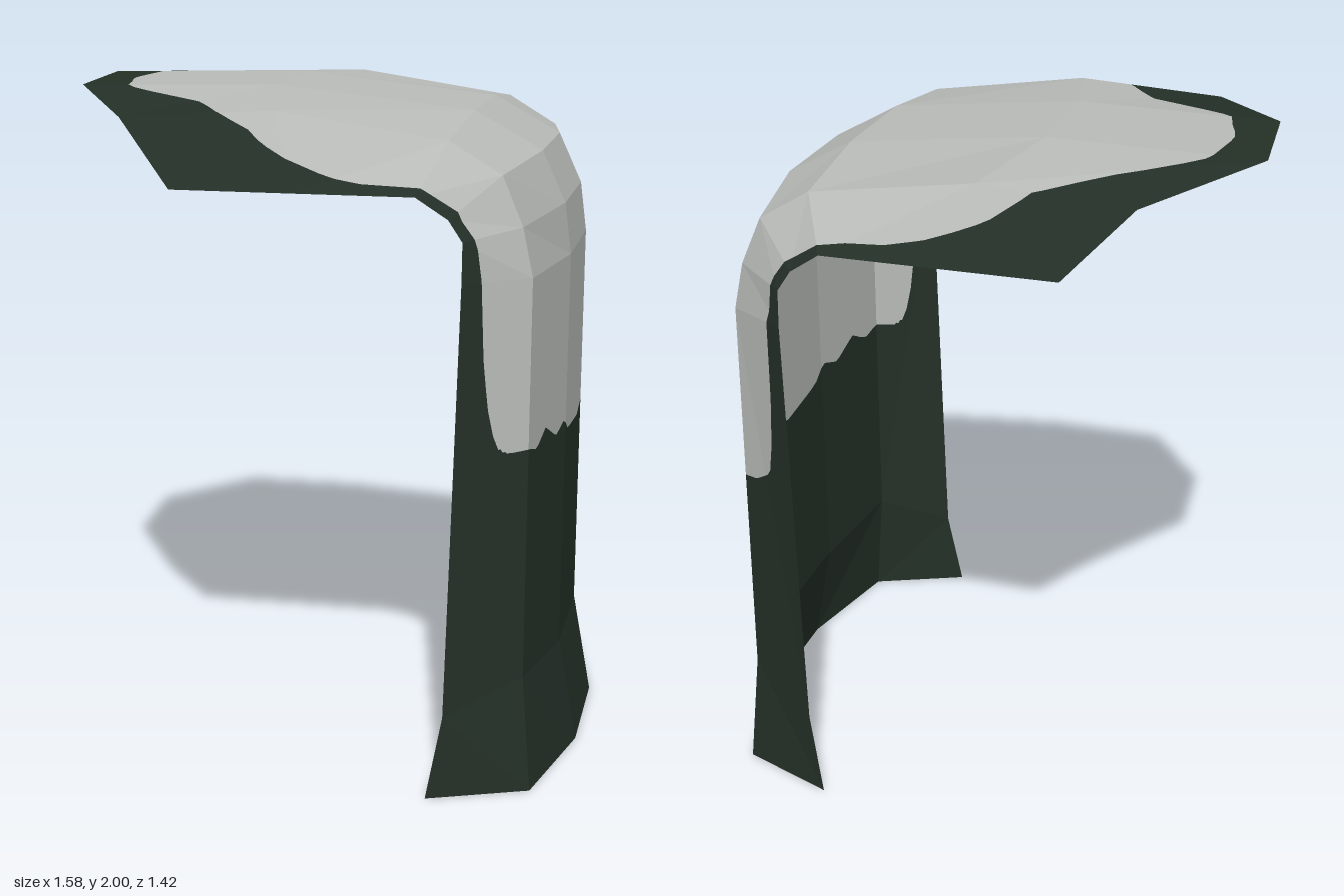
import * as THREE from 'three';

// Cross-section rows from the foot, up the wall, over the bend to the canopy tip.
// Each row: side edge, corner and middle point as [x, y, z] (mirrored in z).
const ROWS = [
  [[0.41, 0, 0.71], [0.70, 0, 0.59], [0.79, 0, 0.2]],
  [[0.455, 0.25, 0.69], [0.67, 0.35, 0.575], [0.73, 0.32, 0.2]],
  [[0.49, 1.53, 0.685], [0.67, 1.53, 0.575], [0.73, 1.53, 0.2]],
  [[0.49, 1.64, 0.68], [0.64, 1.67, 0.575], [0.71, 1.68, 0.2]],
  [[0.45, 1.70, 0.68], [0.58, 1.81, 0.57], [0.64, 1.83, 0.2]],
  [[0.36, 1.76, 0.69], [0.43, 1.90, 0.57], [0.44, 1.94, 0.2]],
  [[0.02, 1.76, 0.70], [-0.06, 1.97, 0.58], [-0.15, 2.0, 0.2]],
  [[-0.33, 1.76, 0.71], [-0.51, 1.94, 0.59], [-0.79, 1.985, 0.2]],
];

// Width of the dark border (in columns) along the rows
const BORDER = [[1.5, 0.85], [1.57, 0.6], [1.65, 0.43], [1.8, 0.33], [2, 0.28], [3, 0.2], [4, 0.18],
  [5, 0.16], [5.5, 0.2], [5.8, 0.3], [6, 0.42], [6.17, 0.6], [6.36, 1], [6.48, 1.41], [6.7, 1.8],
  [6.79, 2], [6.82, 2.5], [6.86, 3.2]];

// Wavy lower rim of the light panel: [z, y]
const RIM = [[-0.65, 1.06], [-0.6, 1.0], [-0.52, 0.985], [-0.45, 1.03], [-0.38, 0.985], [-0.33, 0.975],
  [-0.25, 1.0], [-0.18, 0.98], [-0.1, 0.96], [0, 0.97], [0.1, 0.98], [0.15, 0.99], [0.22, 1.03],
  [0.3, 1.005], [0.35, 1.03], [0.41, 1.06], [0.47, 1.03], [0.5, 1.02], [0.57, 1.04], [0.62, 1.03]];

function lookUp(table, t) {
  if (t <= table[0][0]) return table[0][1];
  for (let i = 1; i < table.length; i++) {
    const [a, va] = table[i - 1], [b, vb] = table[i];
    if (t <= b) return va + (vb - va) * (t - a) / (b - a);
  }
  return table[table.length - 1][1];
}

// Corner of the coarse sheet; columns 0..5 run from +z to -z
function corner(u, v) {
  const [x, y, z] = ROWS[v][Math.min(u, 5 - u)];
  const tip = v === 7 && u === 2 ? 0.03 : 0;
  return new THREE.Vector3(x + tip, y, u < 3 ? z : -z);
}

// Point on the faceted sheet: two flat triangles per coarse cell
function sheetPoint(i, j, a, b) {
  const p10 = corner(i + 1, j), p01 = corner(i, j + 1);
  const lower = a + b <= 1;
  const o = lower ? corner(i, j) : corner(i + 1, j + 1);
  const du = (lower ? p10 : p01).clone().sub(o);
  const dv = (lower ? p01 : p10).clone().sub(o);
  const p = o.clone().addScaledVector(du, lower ? a : 1 - a).addScaledVector(dv, lower ? b : 1 - b);
  const u = i + a;
  // Positive inside the light panel
  const side = Math.min(u, 5 - u) - lookUp(BORDER, j + b);
  p.inside = Math.min(side, (p.y - lookUp(RIM, p.z)) * 4);
  return p;
}

// Keep the part of a triangle on one side of the colour boundary
function clipInto(out, tri, sign) {
  const poly = [];
  for (let k = 0; k < 3; k++) {
    const p = tri[k], q = tri[(k + 1) % 3];
    const fp = p.inside * sign, fq = q.inside * sign;
    if (fp >= 0) poly.push(p);
    if ((fp > 0 && fq < 0) || (fp < 0 && fq > 0)) poly.push(p.clone().lerp(q, fp / (fp - fq)));
  }
  for (let k = 1; k + 1 < poly.length; k++) {
    for (const p of [poly[0], poly[k], poly[k + 1]]) out.push(p.x, p.y, p.z);
  }
}

function makeMesh(name, positions, material) {
  const geometry = new THREE.BufferGeometry();
  geometry.setAttribute('position', new THREE.Float32BufferAttribute(positions, 3));
  geometry.computeVertexNormals(); // unshared corners give flat facets
  const mesh = new THREE.Mesh(geometry, material);
  mesh.name = name;
  return mesh;
}

export function createModel() {
  const darkGreen = new THREE.MeshStandardMaterial({ color: 0x243027, side: THREE.DoubleSide });
  darkGreen.name = 'dark green';
  const lightGrey = new THREE.MeshStandardMaterial({ color: 0xb9bcb8, side: THREE.DoubleSide });
  lightGrey.name = 'light grey';

  const light = [], dark = [];
  const N = 16;
  for (let j = 0; j < ROWS.length - 1; j++) {
    for (let i = 0; i < 5; i++) {
      for (let r = 0; r < N; r++) {
        for (let c = 0; c < N; c++) {
          const at = (dc, dr) => sheetPoint(i, j, (c + dc) / N, (r + dr) / N);
          const p00 = at(0, 0), p10 = at(1, 0), p01 = at(0, 1), p11 = at(1, 1);
          for (const tri of [[p00, p10, p01], [p10, p11, p01]]) {
            clipInto(light, tri, 1);
            clipInto(dark, tri, -1);
          }
        }
      }
    }
  }

  const group = new THREE.Group();
  group.name = 'curvedShell';
  group.add(makeMesh('lightPanel', light, lightGrey), makeMesh('darkBorder', dark, darkGreen));
  return group;
}
